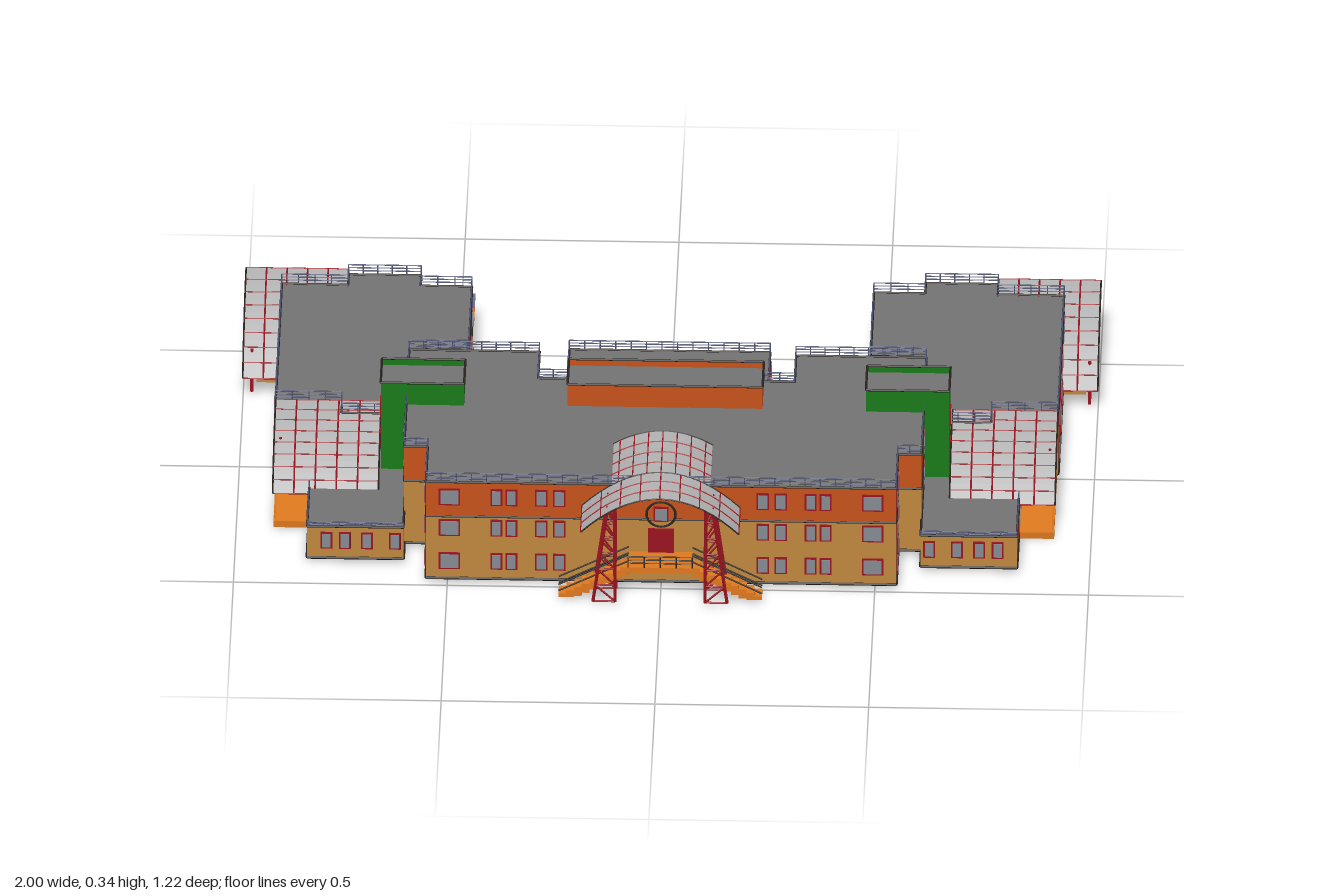
import * as THREE from 'three';

const mat = (color) => new THREE.MeshStandardMaterial({ color, side: THREE.DoubleSide, flatShading: true });
const M = {
  tan: mat(0xc08840), brick: mat(0xc8521c), green: mat(0x1a7a1a), roof: mat(0x747474), dark: mat(0x2a2420),
  red: mat(0x9a1420), rail: mat(0x4c5272), slate: mat(0x6a7290), glass: mat(0x858a92), sheet: mat(0xb4b4b4), orange: mat(0xe07a20),
};
const GROUND = 0.015;

function add(parent, name, geo, m) {
  const mesh = new THREE.Mesh(geo, m);
  mesh.name = name;
  parent.add(mesh);
  return mesh;
}

// box given by its two extreme corners
function box(parent, name, [x0, y0, z0], [x1, y1, z1], m) {
  const b = add(parent, name, new THREE.BoxGeometry(Math.abs(x1 - x0), Math.abs(y1 - y0), Math.abs(z1 - z0)), m);
  b.position.set((x0 + x1) / 2, (y0 + y1) / 2, (z0 + z1) / 2);
  return b;
}

// thin round bar between two points
function bar(parent, name, a, b, r, m) {
  const A = new THREE.Vector3(...a), B = new THREE.Vector3(...b), d = B.clone().sub(A);
  const c = add(parent, name, new THREE.CylinderGeometry(r, r, d.length(), 5), m);
  c.position.copy(A).add(B).multiplyScalar(0.5);
  c.quaternion.setFromUnitVectors(new THREE.Vector3(0, 1, 0), d.normalize());
}

// upright panel between two plan points
function wall(parent, name, [x0, z0], [x1, z1], y0, y1, m) {
  const p = add(parent, name, new THREE.PlaneGeometry(Math.hypot(x1 - x0, z1 - z0), y1 - y0), m);
  p.position.set((x0 + x1) / 2, (y0 + y1) / 2, (z0 + z1) / 2);
  p.rotation.y = Math.atan2(-(z1 - z0), x1 - x0);
}

// walls around a plan outline; special[i] recolours the wall starting at corner i
function walls(parent, name, pts, y0, y1, m, special = {}) {
  pts.forEach((p, i) => {
    const q = pts[(i + 1) % pts.length];
    wall(parent, name, p, q, y0, y1, special[i] || m);
    bar(parent, name + 'Cornice', [p[0], y1, p[1]], [q[0], y1, q[1]], 0.003, M.dark);
    if (y0 === GROUND) bar(parent, name + 'Plinth', [p[0], y0 + 0.004, p[1]], [q[0], y0 + 0.004, q[1]], 0.004, M.dark);
  });
}

function flatRoof(parent, name, pts, y) {
  const g = new THREE.ShapeGeometry(new THREE.Shape(pts.map(([x, z]) => new THREE.Vector2(x, -z))));
  add(parent, name, g.rotateX(-Math.PI / 2), M.roof).position.y = y;
}

// posts and three rails along a plan path
function railing(parent, name, pts, y, h, m = M.rail) {
  for (let i = 0; i < pts.length - 1; i++) {
    const [x0, z0] = pts[i], [x1, z1] = pts[i + 1];
    for (const f of [0.4, 0.7, 1]) bar(parent, name, [x0, y + h * f, z0], [x1, y + h * f, z1], 0.0015, m);
    const n = Math.max(1, Math.round(Math.hypot(x1 - x0, z1 - z0) / 0.035));
    for (let k = 0; k <= n; k++) {
      const x = x0 + (x1 - x0) * k / n, z = z0 + (z1 - z0) * k / n;
      bar(parent, name + 'Post', [x, y, z], [x, y + h, z], 0.0015, m);
    }
  }
}

// framed windows on a wall at x = at or z = at; cols are [centre, width], rows are [bottom, top]
function windows(parent, axis, at, cols, rows) {
  for (const [c, w] of cols) for (const [b, t] of rows) {
    for (const [name, e, d, m] of [['windowFrame', 0, 0.003, M.red], ['windowGlass', 0.004, 0.0045, M.glass]]) {
      const lo = c - w / 2 + e, hi = c + w / 2 - e;
      if (axis === 'z') box(parent, name, [lo, b + e, at - d], [hi, t - e, at + d], m);
      else box(parent, name, [at - d, b + e, lo], [at + d, t - e, hi], m);
    }
  }
}

// curved canopy sheet with red ribs; curve gives (along, height), swept from w0 to w1 on the other axis
function canopy(parent, name, curve, w0, w1, axis, t0 = 0, t1 = 1) {
  const at = (t, w) => {
    const p = curve.getPoint(t0 + (t1 - t0) * t);
    return axis === 'x' ? [w, p.y, p.x] : [p.x, p.y, w];
  };
  const g = new THREE.PlaneGeometry(1, 1, 16, 1), pos = g.attributes.position;
  for (let i = 0; i < pos.count; i++) pos.setXYZ(i, ...at(pos.getX(i) + 0.5, w0 + (pos.getY(i) + 0.5) * (w1 - w0)));
  g.computeVertexNormals();
  add(parent, name, g, M.sheet);
  const n = Math.max(2, Math.round(Math.abs(w1 - w0) / 0.045));
  for (let k = 0; k <= n; k++) {
    const w = w0 + (w1 - w0) * k / n, pts = [];
    for (let i = 0; i <= 12; i++) pts.push(new THREE.Vector3(...at(i / 12, w)));
    add(parent, name + 'Rib', new THREE.TubeGeometry(new THREE.CatmullRomCurve3(pts), 16, 0.002, 4), k === 0 || k === n ? M.dark : M.red);
  }
  for (let i = 0; i <= 8; i++) bar(parent, name + 'Purlin', at(i / 8, w0), at(i / 8, w1), 0.0016, M.red);
}

// tapered lattice leg: bottom pair a, b and top pair c, d
function lattice(parent, name, a, b, c, d) {
  const mix = (p, q, t) => p.map((v, i) => v + (q[i] - v) * t);
  bar(parent, name, a, c, 0.004, M.red);
  bar(parent, name, b, d, 0.004, M.red);
  for (let i = 0; i < 6; i++) {
    bar(parent, name + 'Rung', mix(a, c, i / 6), mix(b, d, i / 6), 0.0025, M.red);
    bar(parent, name + 'Brace', mix(a, c, i / 6), mix(b, d, (i + 1) / 6), 0.0025, M.red);
  }
}

// flight of solid steps rising from a to b along one axis, with handrails on both sides
function stairs(parent, name, a, b, axis, w0, w1, n, m) {
  for (let i = 0; i < n; i++) {
    const s0 = a[0] + (b[0] - a[0]) * i / n, s1 = a[0] + (b[0] - a[0]) * (i + 1) / n;
    const y = a[1] + (b[1] - a[1]) * (i + 1) / n, lo = Math.max(GROUND, y - 0.025);
    if (axis === 'x') box(parent, name, [s0, lo, w0], [s1, y, w1], m);
    else box(parent, name, [w0, lo, s0], [w1, y, s1], m);
  }
  for (const w of [w0, w1]) for (const h of [0.018, 0.035]) {
    const p = (q) => axis === 'x' ? [q[0], q[1] + h, w] : [w, q[1] + h, q[0]];
    bar(parent, name + 'Handrail', p(a), p(b), 0.002, M.dark);
  }
}

const mirror = (half) => [...half, ...half.map(([x, z]) => [-x, z]).reverse()];
const bezier = (a, b, c) => new THREE.QuadraticBezierCurve(new THREE.Vector2(...a), new THREE.Vector2(...b), new THREE.Vector2(...c));
const ROWS = [[0.045, 0.09], [0.137, 0.182], [0.222, 0.267]];
const LOW = ROWS.slice(0, 2), TOP = ROWS.slice(2);

function buildCentre(g) {
  // two tan storeys, and a brick storey set back at the rear
  walls(g, 'lowerWalls', mirror([[0.55, 0.49], [0.55, 0.34], [0.605, 0.34], [0.605, -0.08], [0.235, -0.08], [0.235, -0.24]]), GROUND, 0.19, M.tan);
  const upper = mirror([[0.55, 0.49], [0.55, 0.34], [0.605, 0.34], [0.605, -0.08], [0.3, -0.08], [0.3, 0.035]]);
  walls(g, 'upperWalls', upper, 0.19, 0.285, M.brick);
  flatRoof(g, 'mainRoof', upper, 0.283);
  railing(g, 'mainRoofRailing', [...upper, upper[0]], 0.285, 0.025);
  const rear = mirror([[0.3, 0.035], [0.3, -0.08], [0.235, -0.08], [0.235, -0.24]]);
  flatRoof(g, 'rearRoof', rear, 0.189);
  railing(g, 'rearRoofRailing', rear.slice(1, -1), 0.19, 0.025);
  // roof room with a sunken top
  const room = mirror([[0.228, 0.15], [0.228, 0.04]]);
  walls(g, 'roofRoom', room, 0.28, 0.343, M.brick);
  flatRoof(g, 'roofRoomTop', room, 0.325);
  windows(g, 'z', -0.24, [-0.19, -0.14, -0.07, -0.02, 0.03, 0.08, 0.14, 0.19].map((x) => [x, 0.035]), LOW);
  windows(g, 'z', 0.035, [-0.2, -0.1, 0, 0.1, 0.2].map((x) => [x, 0.035]), TOP);
  // entrance vault, ring window, landing and door
  const arch = bezier([-0.185, 0.225], [0, 0.415], [0.185, 0.225]);
  canopy(g, 'entranceVault', arch, 0.49, 0.605, 'z');
  canopy(g, 'vaultOnRoof', arch, 0.31, 0.49, 'z', 0.14, 0.86);
  add(g, 'ringWindow', new THREE.TorusGeometry(0.034, 0.003, 6, 24), M.dark).position.set(0, 0.205, 0.492);
  windows(g, 'z', 0.49, [[0, 0.036]], [[0.185, 0.225]]);
  box(g, 'entranceDoor', [-0.03, 0.1, 0.488], [0.03, 0.165, 0.494], M.red);
  box(g, 'entranceLanding', [-0.075, 0.085, 0.49], [0.075, 0.1, 0.56], M.orange);
  railing(g, 'landingRailing', [[-0.075, 0.56], [0.075, 0.56]], 0.1, 0.03, M.dark);
}

// everything that appears once on each side
function buildSide(g) {
  windows(g, 'z', 0.49, [[0.495, 0.05], [0.385, 0.028], [0.35, 0.028], [0.28, 0.03], [0.238, 0.03]], ROWS);
  windows(g, 'x', 0.55, [[0.47, 0.025], [0.39, 0.025]], ROWS);
  windows(g, 'x', 0.605, [[0.237, 0.025], [0.203, 0.025]], ROWS.slice(1));
  windows(g, 'z', -0.08, [[0.36, 0.035], [0.43, 0.035], [0.5, 0.035]], ROWS);
  windows(g, 'x', 0.235, [[-0.14, 0.03], [-0.2, 0.03]], LOW);
  // entrance stairs and lattice legs
  stairs(g, 'entranceStairs', [0.238, GROUND], [0.075, 0.1], 'x', 0.525, 0.56, 9, M.orange);
  for (const z of [0.518, 0.575]) lattice(g, 'vaultLeg', [0.105, GROUND, z], [0.157, GROUND, z], [0.107, 0.285, z], [0.122, 0.278, z]);
  for (const x of [0.106, 0.15]) bar(g, 'vaultLegTie', [x, 0.05, 0.518], [x, 0.05, 0.575], 0.003, M.red);
  // stair tower
  const tower = [[0.47, 0.155], [0.665, 0.155], [0.665, 0.05], [0.47, 0.05]];
  walls(g, 'stairTower', tower, GROUND, 0.343, M.green);
  flatRoof(g, 'towerTop', tower, 0.325);
  windows(g, 'x', 0.665, [[0.105, 0.025]], ROWS.slice(1));
  // rear wing with green inner walls
  const wing = [[0.605, 0.05], [0.76, 0.05], [0.76, 0], [0.915, 0], [0.915, -0.505], [0.76, -0.505], [0.76, -0.55],
    [0.59, -0.55], [0.59, -0.505], [0.47, -0.505], [0.47, -0.23], [0.57, -0.23], [0.57, -0.08], [0.605, -0.08]];
  walls(g, 'wingWalls', wing, GROUND, 0.19, M.tan, { 7: M.green, 8: M.green, 9: M.green, 10: M.green });
  flatRoof(g, 'wingRoof', wing, 0.189);
  railing(g, 'wingRailing', wing.slice(0, 13), 0.19, 0.027);
  windows(g, 'x', 0.915, [[-0.04, 0.045], [-0.143, 0.025], [-0.178, 0.025], [-0.263, 0.025], [-0.298, 0.025], [-0.387, 0.035], [-0.43, 0.035]], LOW);
  windows(g, 'z', -0.55, [[0.63, 0.035], [0.675, 0.035], [0.725, 0.03]], LOW);
  windows(g, 'z', -0.505, [[0.53, 0.04], [0.82, 0.03], [0.87, 0.03]], LOW);
  windows(g, 'x', 0.47, [[-0.3, 0.03], [-0.42, 0.03]], LOW);
  windows(g, 'x', 0.57, [[-0.16, 0.035]], LOW);
  // low front annex
  const annex = [[0.605, 0.05], [0.605, 0.41], [0.83, 0.41], [0.83, 0.05]];
  walls(g, 'annexWalls', annex, GROUND, 0.105, M.tan);
  flatRoof(g, 'annexRoof', annex, 0.104);
  railing(g, 'annexRailing', annex.slice(1), 0.105, 0.012);
  windows(g, 'z', 0.41, [[0.625, 0.028], [0.69, 0.028], [0.742, 0.028], [0.785, 0.028]], [ROWS[0]]);
  windows(g, 'x', 0.83, [[0.297, 0.025], [0.262, 0.025], [0.19, 0.035], [0.105, 0.03]], [ROWS[0]]);
  // sloping ramp under the front side canopy
  const ramp = box(g, 'ramp', [0.76, -0.009, -0.13], [0.913, 0.009, 0.13], M.orange);
  ramp.position.set(0.8365, 0.022, 0.13);
  ramp.rotation.x = 0.07;
  for (const h of [0.02, 0.035]) bar(g, 'rampHandrail', [0.91, 0.012 + h, 0.26], [0.91, 0.034 + h, 0], 0.002, M.orange);
  canopy(g, 'sideCanopy', bezier([0.255, 0.095], [0.16, 0.19], [0, 0.192]), 0.668, 0.915, 'x');
  lattice(g, 'sideCanopyLeg', [0.9, GROUND, 0.152], [0.9, GROUND, 0.108], [0.9, 0.172, 0.133], [0.9, 0.172, 0.122]);
  // rear canopy over the outside stairs
  canopy(g, 'rearCanopy', bezier([-0.28, 0.07], [-0.38, 0.185], [-0.565, 0.195]), 0.76, 1, 'x');
  lattice(g, 'rearCanopyLeg', [0.98, GROUND, -0.31], [0.98, GROUND, -0.347], [0.98, 0.12, -0.33], [0.98, 0.12, -0.338]);
  stairs(g, 'outsideStairs', [-0.35, GROUND], [-0.45, 0.085], 'z', 0.918, 0.97, 8, M.tan);
  box(g, 'outsideLanding', [0.915, 0.075, -0.45], [0.97, 0.085, -0.52], M.tan);
  railing(g, 'outsideLandingRailing', [[0.97, -0.45], [0.97, -0.52], [0.915, -0.52]], 0.085, 0.033, M.dark);
  // back porch with balcony and awning
  box(g, 'porch', [0.47, GROUND, -0.505], [0.64, 0.04, -0.595], M.orange);
  railing(g, 'porchRailing', [[0.47, -0.51], [0.47, -0.595], [0.64, -0.595]], 0.04, 0.02, M.dark);
  box(g, 'balcony', [0.465, 0.092, -0.505], [0.59, 0.102, -0.552], M.orange);
  box(g, 'porchAwning', [0.465, 0.096, -0.55], [0.637, 0.103, -0.61], M.slate);
  for (const x of [0.475, 0.63]) bar(g, 'awningPost', [x, GROUND, -0.603], [x, 0.115, -0.603], 0.003, M.red);
  // awnings beside and behind the central block
  box(g, 'courtAwning', [0.235, 0.108, -0.19], [0.305, 0.115, -0.08], M.slate);
  bar(g, 'courtAwningPost', [0.298, GROUND, -0.183], [0.298, 0.11, -0.183], 0.003, M.red);
  box(g, 'rearAwning', [0.1, 0.108, -0.24], [0.23, 0.115, -0.28], M.slate);
  for (const x of [0.107, 0.223]) bar(g, 'rearAwningPost', [x, GROUND, -0.275], [x, 0.11, -0.275], 0.003, M.red);
}

export function createModel() {
  const model = new THREE.Group();
  model.name = 'building';
  const centre = new THREE.Group();
  centre.name = 'centreBlock';
  buildCentre(centre);
  model.add(centre);
  for (const [name, s] of [['leftSide', 1], ['rightSide', -1]]) {
    const side = new THREE.Group();
    side.name = name;
    buildSide(side);
    side.scale.x = s;
    model.add(side);
  }
  return model;
}
